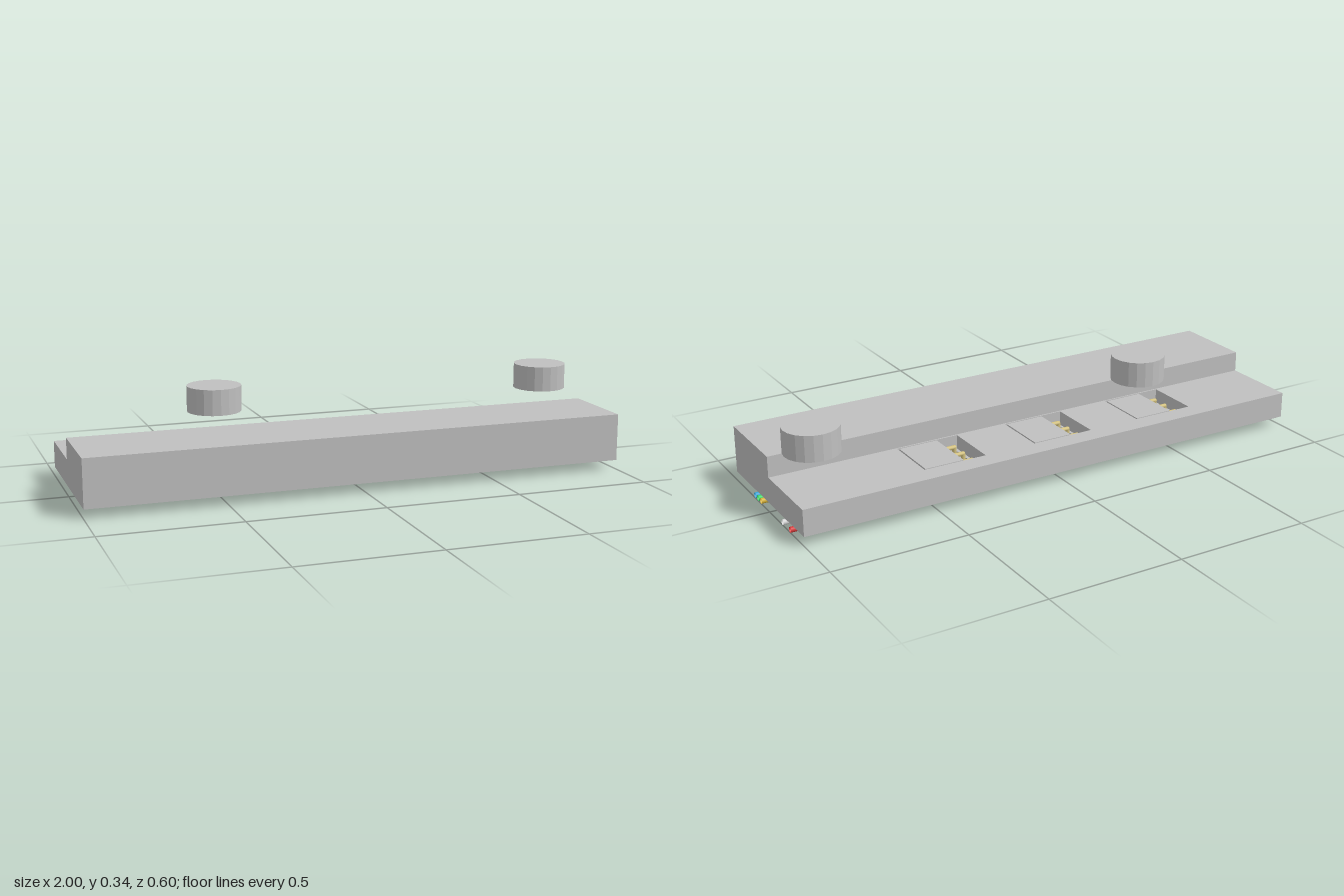
import * as THREE from 'three';

const flat = (name, color) => Object.assign(new THREE.MeshStandardMaterial({ color }), { name });

export function createModel() {
  const housingGrey = flat('housing grey', 0xbfbfbf);
  const brass = flat('brass', 0xd2c07c);
  const red = flat('red wire', 0xd63a3a);
  const white = flat('pale grey wire', 0xd4d4d4);
  const blue = flat('blue wire', 0x36a2d6);
  const green = flat('green wire', 0x3bd667);
  const yellow = flat('yellow wire', 0xd6b136);
  for (const m of [red, white, blue, green, yellow]) m.side = THREE.DoubleSide;
  const knobGrey = housingGrey.clone();
  knobGrey.name = 'knob grey';
  knobGrey.flatShading = true;

  const model = new THREE.Group();
  const add = (parent, name, geometry, material) => {
    const mesh = new THREE.Mesh(geometry, material);
    mesh.name = name;
    parent.add(mesh);
    return mesh;
  };
  const box = (x0, x1, y0, y1, z0, z1) =>
    new THREE.BoxGeometry(x1 - x0, y1 - y0, z1 - z0)
      .translate((x0 + x1) / 2, (y0 + y1) / 2, (z0 + z1) / 2);

  // Straight round bar between two points
  const bar = (a, b, radius, sides, open) => {
    const dir = b.clone().sub(a);
    const turn = new THREE.Quaternion().setFromUnitVectors(
      new THREE.Vector3(0, 1, 0), dir.clone().normalize());
    const mid = a.clone().add(b).multiplyScalar(0.5);
    return new THREE.CylinderGeometry(radius, radius, dir.length(), sides, 1, open)
      .applyQuaternion(turn).translate(mid.x, mid.y, mid.z);
  };
  const P = (x, y, z) => new THREE.Vector3(x, y, z);

  // Outline in plan, z running opposite to shape y
  const rect = (x0, x1, z0, z1, Type = THREE.Shape) => {
    const s = new Type();
    s.moveTo(x0, -z1);
    s.lineTo(x1, -z1);
    s.lineTo(x1, -z0);
    s.lineTo(x0, -z0);
    s.closePath();
    return s;
  };
  const slab = (shape, y0, y1) =>
    new THREE.ExtrudeGeometry(shape, { depth: y1 - y0, bevelEnabled: false, curveSegments: 16 })
      .rotateX(-Math.PI / 2).translate(0, y0, 0);

  const bottom = 0.035, floor = 0.08, deck = 0.133, top = 0.21;
  const pockets = [-0.604, -0.162, 0.278];
  const pocketLength = 0.24;
  const pinZ = [-0.18, -0.115, -0.051];
  const pinOffset = 0.03;

  // Stepped housing: drilled floor, pocketed deck and raised ridge
  const floorShape = rect(-1, 1, -0.3, 0.3);
  const deckShape = rect(-1, 1, -0.3, -0.01);
  for (const x of pockets) {
    deckShape.holes.push(rect(x, x + pocketLength, -0.225, -0.016, THREE.Path));
    for (const z of pinZ) {
      floorShape.holes.push(new THREE.Path().absarc(x + pinOffset, -z, 0.02, 0, Math.PI * 2, true));
    }
  }
  const housing = new THREE.Group();
  housing.name = 'housing';
  model.add(housing);
  add(housing, 'housingFloor', slab(floorShape, bottom, floor), housingGrey);
  add(housing, 'housingDeck', slab(deckShape, floor, deck), housingGrey);
  add(housing, 'housingRidge', box(-1, 1, floor, top, -0.01, 0.3), housingGrey);

  // Sensor blocks, each with three bent pins
  pockets.forEach((x, i) => {
    const sensor = new THREE.Group();
    sensor.name = 'sensor' + (i + 1);
    model.add(sensor);
    add(sensor, 'sensorBlock',
      box(x + 0.085, x + pocketLength - 0.006, floor, deck, -0.22, -0.021), housingGrey);
    for (const z of pinZ) {
      const px = x + pinOffset, py = 0.105;
      add(sensor, 'pinArm', bar(P(px, py, z), P(x + 0.09, py, z), 0.008, 12), brass);
      add(sensor, 'pinLeg', bar(P(px, 0.012, z), P(px, py, z), 0.008, 12), brass);
      add(sensor, 'pinElbow', new THREE.SphereGeometry(0.008, 12, 8).translate(px, py, z), brass);
    }
  });

  // Wires run under the housing to its left end
  const wireY = 0.01, wireR = 0.01;
  const wire = (name, points, material) => {
    const group = new THREE.Group();
    group.name = name;
    model.add(group);
    for (let i = 1; i < points.length; i++) {
      add(group, name + 'Run', bar(points[i - 1], points[i], wireR, 16, true), material);
      if (i < points.length - 1) {
        const { x, y, z } = points[i];
        add(group, name + 'Bend', new THREE.SphereGeometry(wireR, 16, 10).translate(x, y, z), material);
      }
    }
  };
  const firstPin = pockets[0] + pinOffset;
  wire('powerWire', [P(firstPin, wireY, pinZ[0]), P(1, wireY, pinZ[0])], red);
  wire('groundWire', [P(firstPin, wireY, pinZ[1]), P(1, wireY, pinZ[1])], white);
  [[blue, 0.131], [green, 0.104], [yellow, 0.077]].forEach(([material, z], i) => {
    const x = pockets[i] + pinOffset;
    wire('signalWire' + (i + 1),
      [P(x, wireY, pinZ[2]), P(x, wireY, z), P(1, wireY, z)], material);
  });

  // Round knobs floating above the deck
  [-0.44, 0.88].forEach((x, i) => {
    add(model, 'knob' + (i + 1), new THREE.CylinderGeometry(0.1, 0.1, 0.095, 20), knobGrey)
      .position.set(x, 0.2925, -0.115);
  });

  return model;
}
